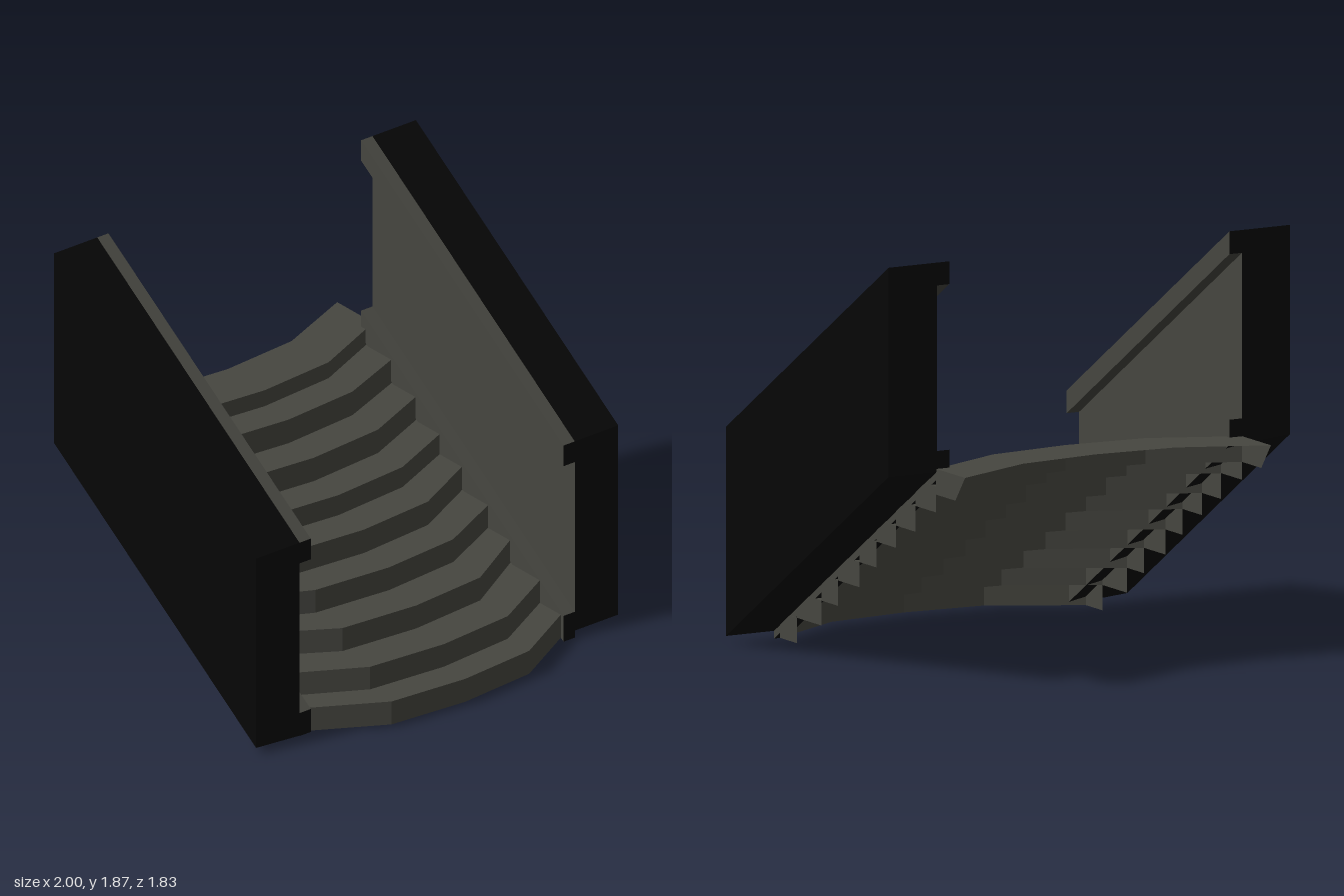
import * as THREE from 'three';

const gray = new THREE.MeshStandardMaterial({ color: 0x464640, side: THREE.DoubleSide });
gray.name = 'stone gray';
const black = new THREE.MeshStandardMaterial({ color: 0x060606 });
black.name = 'matte black';

const FRONT = 0.72, BACK = -0.67, SLOPE = 0.662;

// Box that climbs towards the back; innerDrop lowers the inner edge of its underside
function slopedBar(name, x0, x1, y0, y1, materials, innerDrop = 0) {
  const g = new THREE.BoxGeometry(x1 - x0, y1 - y0, FRONT - BACK);
  g.translate((x0 + x1) / 2, (y0 + y1) / 2, (FRONT + BACK) / 2);
  const p = g.attributes.position;
  const middle = Math.abs(x0 + x1) / 2;
  for (let i = 0; i < p.count; i++) {
    const innerBottom = p.getY(i) < (y0 + y1) / 2 && Math.abs(p.getX(i)) < middle;
    p.setY(i, p.getY(i) - (innerBottom ? innerDrop : 0) + SLOPE * (FRONT - p.getZ(i)));
  }
  g.computeVertexNormals();
  const mesh = new THREE.Mesh(g, materials);
  mesh.name = name;
  return mesh;
}

// Wall with a gray inner face and two gray rails
function makeSide(s) {
  const side = new THREE.Group();
  side.name = s > 0 ? 'leftSide' : 'rightSide';
  const span = (a, b) => (s > 0 ? [a, b] : [-b, -a]);
  const wallMats = Array(6).fill(black);
  wallMats[s > 0 ? 1 : 0] = gray;
  side.add(slopedBar('wall', ...span(0.76, 1), 0.034, 0.95, wallMats, s > 0 ? 0 : 0.018));
  side.add(slopedBar('topRail', ...span(0.698, 0.76), 0.85, 0.95,
    [gray, gray, gray, gray, black, black]));
  side.add(slopedBar('bottomRail', ...span(0.698, 0.76), s > 0 ? 0 : 0.014, 0.125,
    [gray, gray, gray, black, black, black]));
  return side;
}

// Bowed edge of a tread as [x, z] points, from -x to +x
function bowedEdge([mid, end]) {
  return [[-0.762, end], [-0.38, mid - 0.033], [0, mid], [0.38, mid - 0.033], [0.762, end]];
}

// Open step: tread, riser and two end plates, hollow behind and below
function makeStep(front, back, y0, y1, undercut) {
  const points = [];
  const quad = (a, b, c, d) => points.push(...a, ...b, ...c, ...a, ...c, ...d);
  const at = ([x, z], y, shift = 0) => [x, y, z + shift];
  for (let i = 0; i < 4; i++) {
    const [a, b, c, d] = [front[i], front[i + 1], back[i + 1], back[i]];
    quad(at(a, y0), at(b, y0), at(b, y1), at(a, y1));
    quad(at(a, y1), at(b, y1), at(c, y1), at(d, y1));
  }
  const end = (i) => [at(front[i], y0), at(back[i], y0, undercut), at(back[i], y1), at(front[i], y1)];
  quad(...end(4));
  quad(...end(0).reverse());
  const g = new THREE.BufferGeometry();
  g.setAttribute('position', new THREE.Float32BufferAttribute(points, 3));
  g.computeVertexNormals();
  const mesh = new THREE.Mesh(g, gray);
  mesh.name = 'step';
  return mesh;
}

export function createModel() {
  const model = new THREE.Group();
  model.name = 'staircase';
  model.add(makeSide(1), makeSide(-1));

  // Nine bowed steps: z of each nose at the middle and at the ends, then heights
  const edges = [[0.913, 0.665], [0.766, 0.522], [0.576, 0.313], [0.39, 0.17], [0.217, -0.012],
    [0.042, -0.16], [-0.127, -0.325], [-0.302, -0.49], [-0.465, -0.668], [-0.72, -0.915]].map(bowedEdge);
  const bottoms = [0.012, 0.123, 0.232, 0.343, 0.453, 0.566, 0.663, 0.776, 0.854];
  const tops = [...bottoms.slice(1, 8), 0.89, 0.967];
  const steps = new THREE.Group();
  steps.name = 'steps';
  bottoms.forEach((y, i) => {
    steps.add(makeStep(edges[i], edges[i + 1], y, tops[i], i === 8 ? 0.083 : 0));
  });
  model.add(steps);
  return model;
}
